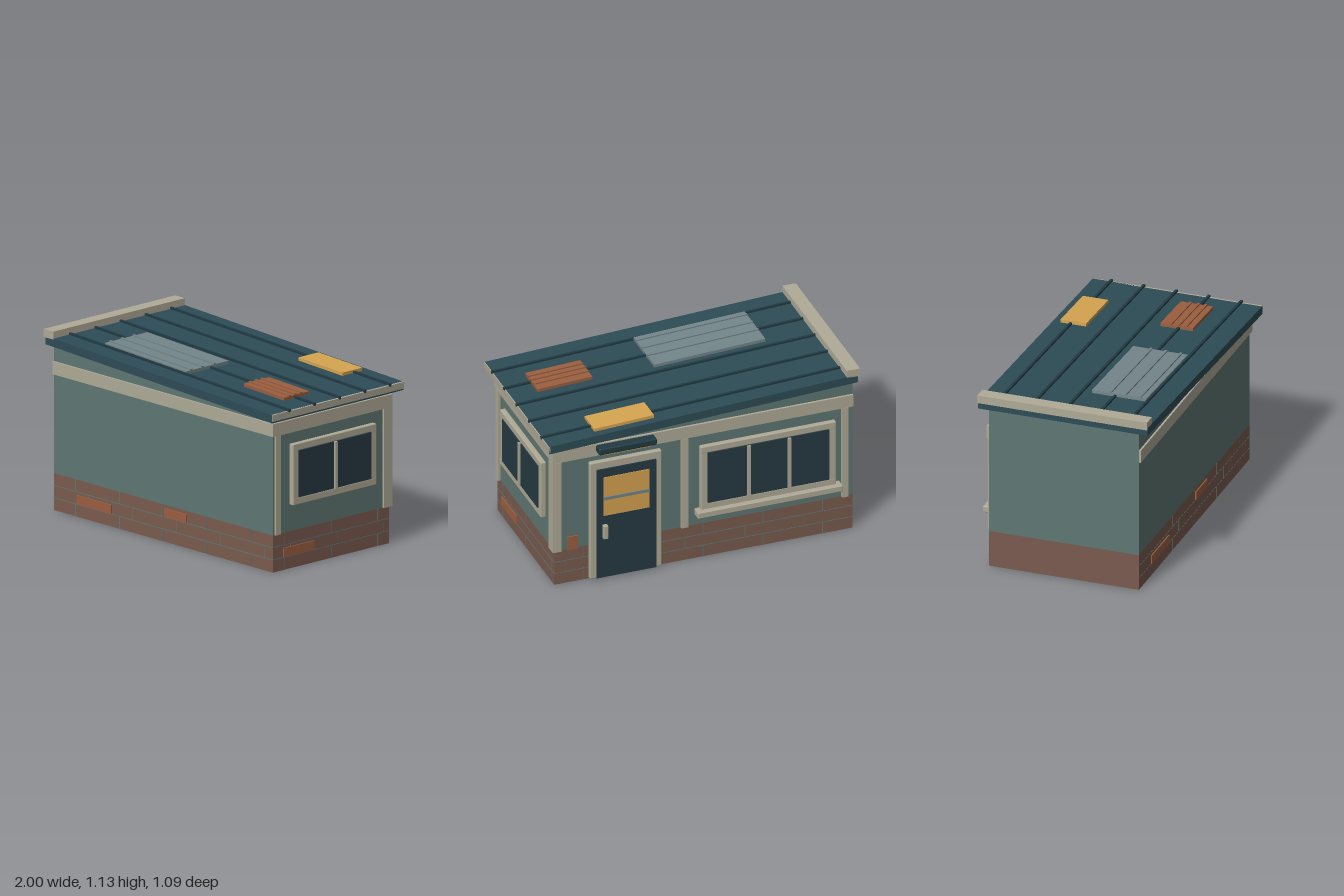
import * as THREE from 'three';
import { RoundedBoxGeometry } from 'three/addons/geometries/RoundedBoxGeometry.js';

const COLORS = {
  wall: 0x5f7773, brick: 0x7a5b4e, trim: 0xb0ab98, glass: 0x263a43,
  roof: 0x2d4c56, rib: 0x213a43, orange: 0x9c5f40, yellow: 0xd6a450, grey: 0x74868a,
};
const mats = {};
for (const k in COLORS) mats[k] = new THREE.MeshStandardMaterial({ color: COLORS[k] });

// Box given by its min and max on each axis; an optional radius softens its edges
function box(parent, name, mat, x0, x1, y0, y1, z0, z1, r = 0) {
  const s = [x1 - x0, y1 - y0, z1 - z0];
  const geo = r ? new RoundedBoxGeometry(...s, 2, r) : new THREE.BoxGeometry(...s);
  const m = new THREE.Mesh(geo, mats[mat]);
  m.name = name;
  m.position.set((x0 + x1) / 2, (y0 + y1) / 2, (z0 + z1) / 2);
  parent.add(m);
  return m;
}

// Window facing +z, centred at the origin, with its back on z = 0
function makeWindow(name, w, h, mullions) {
  const g = new THREE.Group();
  g.name = name;
  const b = 0.045, iw = w / 2 - b, ih = h / 2 - b;
  box(g, 'frameTop', 'trim', -w / 2, w / 2, ih, h / 2, 0, 0.035, 0.006);
  box(g, 'frameBottom', 'trim', -w / 2, w / 2, -h / 2, -ih, 0, 0.035, 0.006);
  for (const s of [-1, 1]) {
    const c = s * (w / 2 - b / 2);
    box(g, 'frameSide', 'trim', c - b / 2, c + b / 2, -h / 2, h / 2, 0, 0.0345, 0.006);
  }
  box(g, 'glass', 'glass', -iw, iw, -ih, ih, 0, 0.038);
  for (let i = 1; i <= mullions; i++) {
    const x = -iw + (2 * iw * i) / (mullions + 1);
    box(g, 'mullion', 'trim', x - 0.01, x + 0.01, -ih, ih, 0.02, 0.05);
  }
  return g;
}

export function createModel() {
  const hut = new THREE.Group();
  hut.name = 'hut';
  const L = -0.975, R = 0.93, B = -0.47, F = 0.485;

  // Walls with a sloping top
  const side = new THREE.Shape([[L, 0.23], [R, 0.23], [R, 0.955], [L, 1.042]].map(p => new THREE.Vector2(...p)));
  const walls = new THREE.Mesh(new THREE.ExtrudeGeometry(side, { depth: F - B, bevelEnabled: false }), mats.wall);
  walls.name = 'walls';
  walls.position.z = B;
  hut.add(walls);

  // Brick base with mortar joints on the front, back and right end
  const base = new THREE.Group();
  base.name = 'brickBase';
  hut.add(base);
  box(base, 'base', 'brick', L, R, 0, 0.23, B, F);
  const e = 0.0015, j = 0.0025;
  for (let row = 0; row < 3; row++) {
    const y0 = row * 0.077, y1 = y0 + 0.077;
    if (row) {
      for (const z of [B, F]) box(base, 'mortarBed', 'wall', L, R, y0 - j, y0 + j, z - e, z + e);
      box(base, 'mortarBed', 'wall', R - e, R + e, y0 - j, y0 + j, B, F);
    }
    for (let x = row === 1 ? -0.67 : -0.785; x < R; x += 0.3825)
      for (const z of [B, F]) box(base, 'mortarJoint', 'wall', x - j, x + j, y0, y1, z - e, z + e);
    for (let z = row === 1 ? -0.425 : -0.378; z < F; z += 0.3825)
      box(base, 'mortarJoint', 'wall', R - e, R + e, y0, y1, z - j, z + j);
  }
  // Replacement bricks
  box(base, 'oddBrick', 'orange', -0.77, -0.47, 0.08, 0.135, F - 0.02, F + 0.008);
  box(base, 'oddBrick', 'orange', -0.01, 0.185, 0.157, 0.21, F - 0.02, F + 0.008);
  box(base, 'oddBrick', 'orange', R - 0.02, R + 0.008, 0.08, 0.137, 0.15, 0.40);
  box(base, 'oddBrick', 'orange', 0.78, 0.85, 0.225, 0.315, B - 0.008, B + 0.02);

  // Trim band and upright battens
  box(hut, 'trimBand', 'trim', L, 0.945, 0.845, 0.925, -0.485, 0.497);
  for (const [z0, z1] of [[0.43, 0.472], [-0.457, -0.415], [-0.485, -0.458]])
    box(hut, 'endBatten', 'trim', R - 0.01, 0.945, 0.23, 0.845, z0, z1);
  for (const [x0, x1] of [[0.89, 0.93], [0.08, 0.122], [-0.945, -0.903]])
    box(hut, 'backBatten', 'trim', x0, x1, 0.23, 0.845, -0.487, B + 0.01);

  // Windows
  const endWindow = makeWindow('endWindow', 0.685, 0.38, 1);
  endWindow.rotation.y = Math.PI / 2;
  endWindow.position.set(R, 0.585, 0.0075);
  hut.add(endWindow);
  const backWindow = makeWindow('backWindow', 0.865, 0.435, 2);
  backWindow.rotation.y = Math.PI;
  backWindow.position.set(-0.427, 0.5575, B);
  hut.add(backWindow);
  box(hut, 'windowSill', 'trim', -0.89, 0.037, 0.305, 0.345, -0.54, B, 0.005);

  // Door
  const door = new THREE.Group();
  door.name = 'door';
  hut.add(door);
  box(door, 'doorFrame', 'trim', 0.255, 0.715, 0.01, 0.81, -0.505, B, 0.008);
  box(door, 'doorLeaf', 'glass', 0.295, 0.675, 0.015, 0.76, -0.515, -0.48);
  box(door, 'doorPanel', 'yellow', 0.34, 0.632, 0.44, 0.705, -0.519, -0.50);
  box(door, 'doorPanelBar', 'grey', 0.34, 0.632, 0.55, 0.57, -0.524, -0.50);
  box(door, 'doorHandle', 'trim', 0.61, 0.64, 0.29, 0.38, -0.542, -0.51, 0.004);

  // Lamp over the door
  box(hut, 'lampHousing', 'rib', 0.30, 0.67, 0.876, 0.92, -0.545, -0.48, 0.01);
  box(hut, 'lampStrip', 'yellow', 0.33, 0.64, 0.87, 0.88, -0.535, -0.515);

  // Sloping roof; y = 0 in this group is the top of the sheet
  const roof = new THREE.Group();
  roof.name = 'roof';
  roof.position.y = 1.045;
  roof.rotation.z = -0.0456;
  hut.add(roof);
  box(roof, 'roofSheet', 'roof', -0.985, 0.988, -0.052, 0, -0.535, 0.545);
  box(roof, 'roofEdge', 'trim', 0.98, 0.994, -0.042, 0, -0.535, 0.545);
  for (let i = -2; i <= 2; i++) {
    const z = -0.005 + i * 0.207;
    box(roof, 'roofRib', 'rib', -0.98, 0.998, -0.005, 0.012, z - 0.008, z + 0.008);
  }
  // Roof patches, two of them ribbed
  const patches = [
    ['greyPatch', 'grey', -0.62, 0.09, 0.055, 0.402, [0.17, 0.265, 0.36]],
    ['orangePatch', 'orange', 0.475, 0.825, 0.085, 0.292, [0.15, 0.2, 0.247]],
    ['yellowPatch', 'yellow', 0.298, 0.68, -0.485, -0.322, []],
  ];
  for (const [name, mat, x0, x1, z0, z1, ribs] of patches) {
    box(roof, name, mat, x0, x1, -0.002, 0.02, z0, z1);
    for (const z of ribs) box(roof, name + 'Rib', mat, x0, x1, 0.015, 0.028, z - 0.008, z + 0.008);
  }

  // Capping beam along the high edge
  box(hut, 'roofCap', 'trim', -1, -0.915, 1.08, 1.13, -0.535, 0.545);
  return hut;
}
